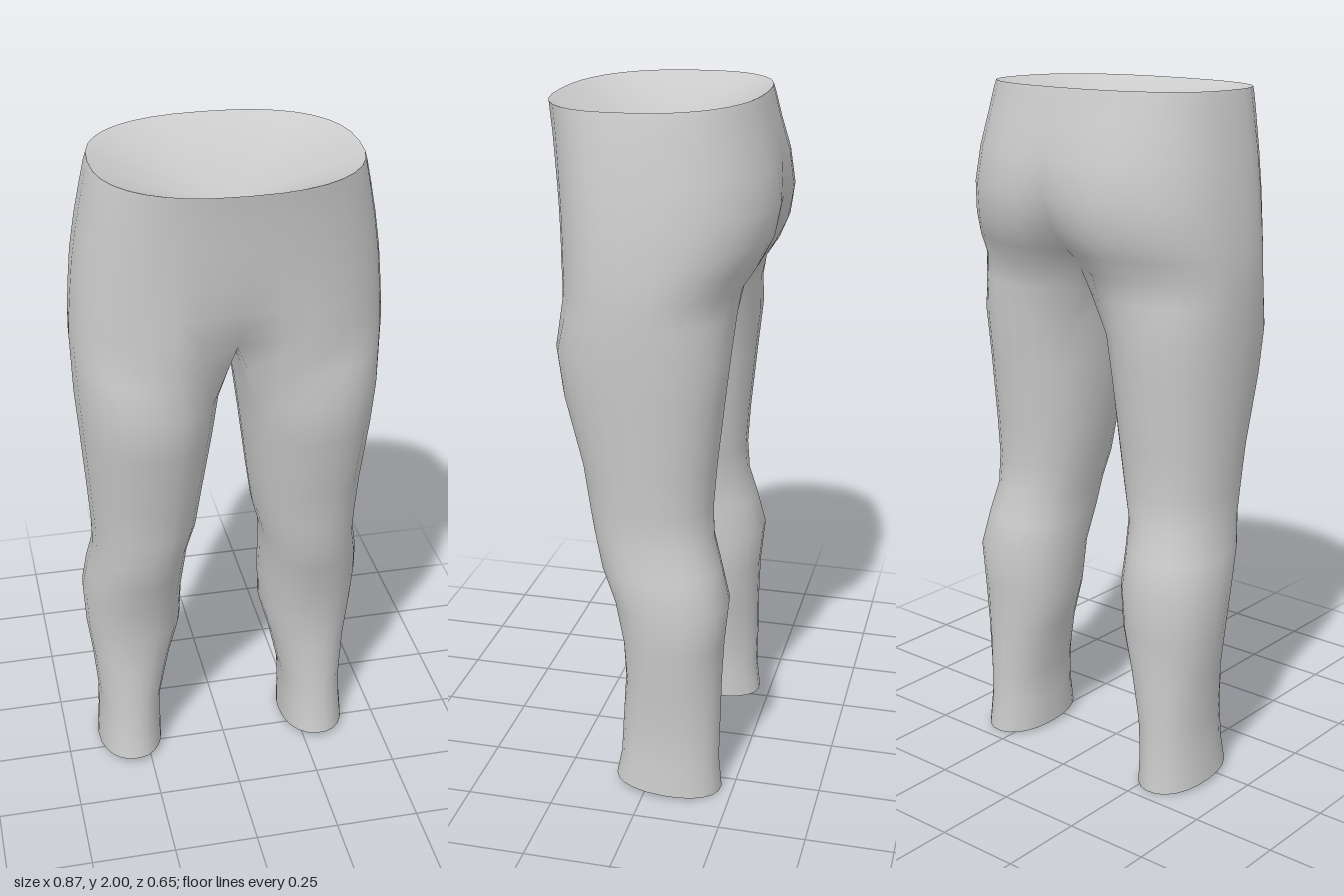
import * as THREE from 'three';
import { mergeVertices } from 'three/addons/utils/BufferGeometryUtils.js';

const OUT = 18;        // steps around the outer side, front centre to back centre
const INN = 6;         // steps across the inner thigh
const RING = OUT + INN;

// Leg sections: y, inner x, outer x, front z, back z
const LEG = [
  [0.01, 0.2, 0.4, 0.1, -0.215],
  [0.1, 0.2, 0.393, 0.085, -0.205],
  [0.2, 0.197, 0.39, 0.08, -0.207],
  [0.35, 0.163, 0.403, 0.072, -0.208],
  [0.47, 0.13, 0.418, 0.08, -0.212],
  [0.6, 0.125, 0.425, 0.105, -0.225],
  [0.7, 0.12, 0.413, 0.145, -0.2],
  [0.79, 0.113, 0.395, 0.168, -0.175],
  [0.88, 0.088, 0.397, 0.185, -0.17],
  [1.0, 0.07, 0.405, 0.203, -0.178],
  [1.2, 0.043, 0.42, 0.255, -0.198],
  [1.33, 0.025, 0.43, 0.273, -0.212],
];
// Hip sections: y, half width, front z, back z, front dent, back dent at the centre line
const HIP = [
  [1.5, 0.435, 0.283, -0.245, 0.09, 0.09],
  [1.56, 0.432, 0.285, -0.285, 0.05, 0.07],
  [1.63, 0.426, 0.287, -0.315, 0.02, 0.04],
  [1.72, 0.417, 0.292, -0.328, 0.005, 0.02],
  [1.82, 0.401, 0.302, -0.313, 0, 0.01],
  [1.91, 0.383, 0.313, -0.285, 0, 0.003],
  [1.97, 0.37, 0.322, -0.267, 0, 0],
  [1.993, 0.363, 0.326, -0.26, 0, 0],
];

const spow = (v, p) => Math.sign(v) * Math.abs(v) ** p;

function legRing([y, xi, xo, zf, zb], hem) {
  const cx = (xi + xo) / 2, cz = (zf + zb) / 2, start = -0.9;
  return Array.from({ length: RING }, (_, i) => {
    const t = i <= OUT
      ? start + (i / OUT) * (Math.PI - 2 * start)
      : Math.PI - start + ((i - OUT) / INN) * (Math.PI + 2 * start);
    const tilt = hem ? 0.01 * Math.cos(t) : 0;
    return [cx + (xo - xi) / 2 * spow(Math.sin(t), 0.92), y + tilt, cz + (zf - zb) / 2 * spow(Math.cos(t), 0.92)];
  });
}

function hipArc([y, w, zf, zb, df, db]) {
  const cz = 0.03;
  return Array.from({ length: OUT + 1 }, (_, i) => {
    const t = (i / OUT) * Math.PI, c = Math.cos(t);
    const x = i % OUT ? w * Math.sin(t) ** 0.82 : 0;
    const dent = Math.exp(-((x / 0.08) ** 2));
    const z = cz + (c > 0 ? zf - cz : cz - zb) * spow(c, 0.82) - dent * (c > 0 ? df : -db);
    const tilt = y > 1.95 ? -0.008 * c : 0;
    return [x, y + tilt, z];
  });
}

// Crotch ring: the lowest hip arc closed by a sagging line between the legs
function crotchRing() {
  const arc = hipArc(HIP[0]), zB = arc[OUT][2], zF = arc[0][2];
  for (let j = 1; j < INN; j++) {
    const k = j / INN;
    arc.push([0, 1.5 - 0.025 * Math.sin(Math.PI * k), zB + (zF - zB) * k]);
  }
  return arc;
}

function geometryFrom(triangles) {
  let g = new THREE.BufferGeometry();
  g.setAttribute('position', new THREE.Float32BufferAttribute(triangles.flat(2), 3));
  g = mergeVertices(g, 1e-5);
  g.computeVertexNormals();
  return g;
}

// Skin between successive rows of points, listed from bottom to top
function loft(rows, closed) {
  const tris = [], n = rows[0].length;
  for (let r = 0; r + 1 < rows.length; r++) {
    for (let i = 0; i < (closed ? n : n - 1); i++) {
      const j = (i + 1) % n, [lo, hi] = [rows[r], rows[r + 1]];
      tris.push([lo[i], lo[j], hi[j]], [lo[i], hi[j], hi[i]]);
    }
  }
  return tris;
}

const fan = (ring, apex) => ring.map((p, i) => [p, ring[(i + 1) % ring.length], apex]);
const flipX = ([x, y, z]) => [-x, y, z];
const mirror = (tris) => tris.map(([a, b, c]) => [flipX(a), flipX(c), flipX(b)]);

export function createModel() {
  const group = new THREE.Group();
  group.name = 'trousers';
  const material = new THREE.MeshStandardMaterial({ color: 0xcccccc });
  const add = (name, tris) => {
    const mesh = new THREE.Mesh(geometryFrom(tris), material);
    mesh.name = name;
    group.add(mesh);
  };

  // Legs and hips as one smooth skin, mirrored across the centre
  const rings = LEG.map((s, i) => legRing(s, i === 0));
  const crotch = crotchRing(), thigh = rings[rings.length - 1];
  const blend = thigh.map((p, i) => p.map((v, k) => v + (crotch[i][k] - v) * 0.6));
  const arcs = HIP.map(hipArc);
  const half = [...loft([...rings, blend, crotch], true), ...loft(arcs, false)];
  add('legsAndHips', [...half, ...mirror(half)]);

  // Slightly hollow undersides of the leg hems
  const hem = fan([...rings[0]].reverse(), [0.3, 0.028, -0.055]);
  add('leftHemUnderside', hem);
  add('rightHemUnderside', mirror(hem));

  // Waistband lip and the sunken surface inside it
  const top = arcs[arcs.length - 1];
  const waist = [...top, ...top.slice(1, -1).reverse().map(flipX)];
  const inset = (s, dy) => waist.map(([x, y, z]) => [x * s, y + dy, 0.03 + (z - 0.03) * s]);
  const inner = inset(0.97, -0.004);
  add('waistbandLip', loft([waist, inner], true));
  add('waistInside', fan(inner, [0, 1.85, 0.033]));
  return group;
}
